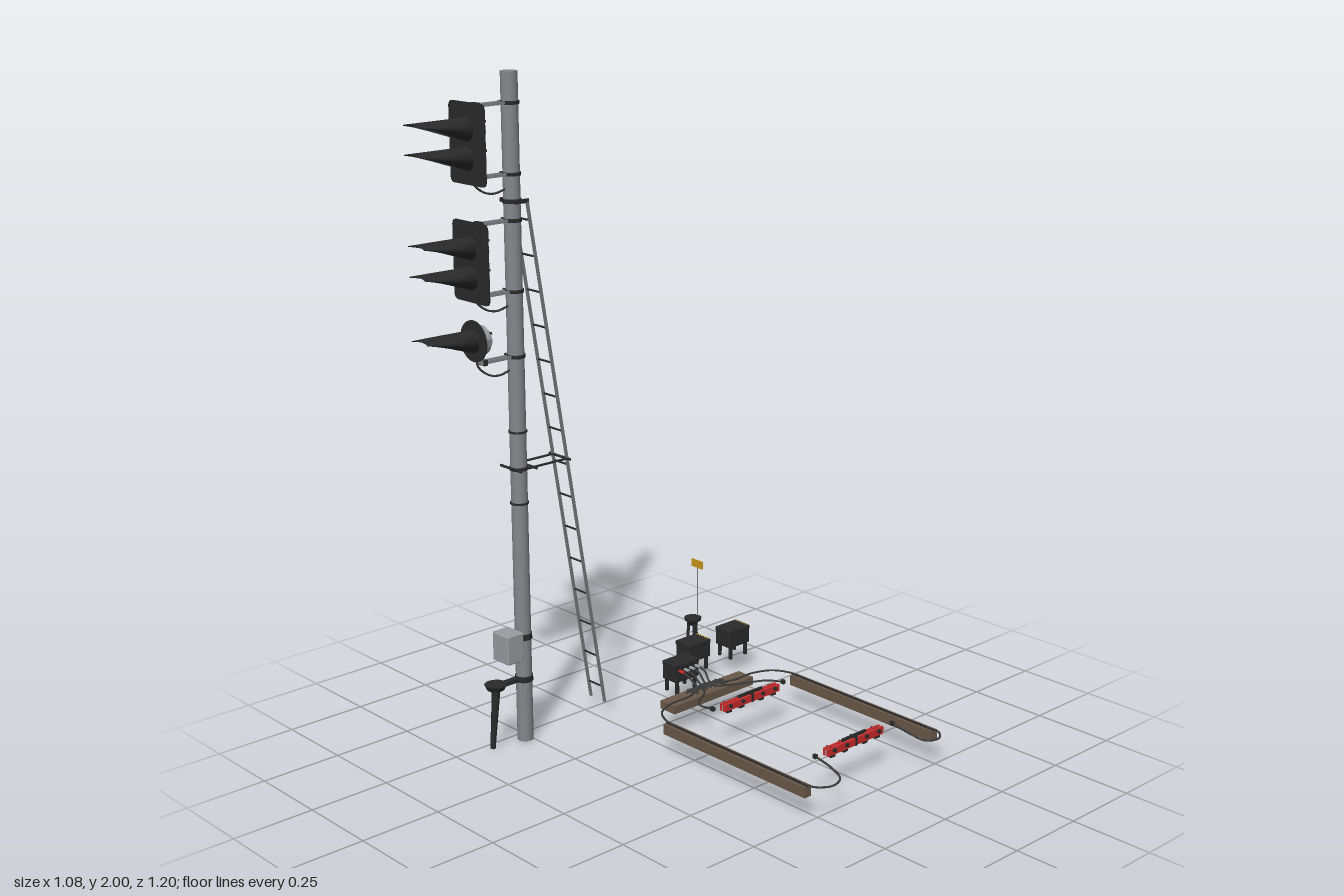
import * as THREE from 'three';
import { RoundedBoxGeometry } from 'three/addons/geometries/RoundedBoxGeometry.js';

const mat = (name, color) => new THREE.MeshStandardMaterial({ name, color, side: THREE.DoubleSide });
const V = (x, y, z) => new THREE.Vector3(x, y, z);

export function createModel() {
  const M = {
    steel: mat('mast steel', 0x85868b), pale: mat('pale grey housing', 0x9a9ca0),
    black: mat('black', 0x2a2a2b), rubber: mat('cable rubber', 0x3c3c3d),
    wood: mat('wood', 0x6a5848), red: mat('red', 0xcc2a2a),
    yellow: mat('yellow', 0xc9961a), ladder: mat('ladder steel', 0x77797c),
    lens: mat('lens', 0xb4b6b8),
  };
  const root = new THREE.Group();
  const group = (name, parent = root) => {
    const g = new THREE.Group();
    g.name = name;
    parent.add(g);
    return g;
  };
  const add = (p, name, geo, m, x = 0, y = 0, z = 0) => {
    const o = new THREE.Mesh(geo, m);
    o.name = name;
    o.position.set(x, y, z);
    p.add(o);
    return o;
  };
  const box = (p, name, m, w, h, d, x, y, z) => add(p, name, new THREE.BoxGeometry(w, h, d), m, x, y, z);
  const round = (p, name, m, w, h, d, r, x, y, z) => add(p, name, new RoundedBoxGeometry(w, h, d, 2, r), m, x, y, z);
  const cyl = (p, name, m, r1, r2, h, x, y, z, n = 20) => add(p, name, new THREE.CylinderGeometry(r1, r2, h, n), m, x, y, z);
  const disc = (p, name, m, r, d, x, y, z) => {
    const o = cyl(p, name, m, r, r, d, x, y, z, 28);
    o.rotation.x = Math.PI / 2;
    return o;
  };
  // straight round bar between two points
  const rod = (p, name, m, a, b, r, r2 = r) => {
    const o = cyl(p, name, m, r2, r, a.distanceTo(b), 0, 0, 0, 10);
    o.position.copy(a).add(b).multiplyScalar(0.5);
    o.quaternion.setFromUnitVectors(V(0, 1, 0), b.clone().sub(a).normalize());
    return o;
  };
  const cable = (p, name, pts, r = 0.0032) => add(p, name,
    new THREE.TubeGeometry(new THREE.CatmullRomCurve3(pts.map(q => V(...q))), 28, r, 6), M.rubber);

  const X = -0.463, Z = 0.267;

  // Mast and its clamp bands
  const mast = group('mast');
  cyl(mast, 'mastTube', M.steel, 0.0245, 0.0245, 2, X, 1, Z, 32);
  for (const [y, h] of [[0.968, 0.006], [0.857, 0.01], [0.751, 0.006], [0.335, 0.018], [0.2, 0.018], [1.64, 0.012]])
    cyl(mast, 'clampBand', M.black, 0.0275, 0.0275, h, X, y, Z, 32);

  // Sighting hood: a tube that opens and flattens toward its tip
  const hoodGeometry = () => {
    const n = 24, rows = 10, pos = [], idx = [];
    for (let i = 0; i <= rows; i++) {
      const t = i / rows, w = 0.03 + 0.006 * t + 0.034 * t * (1 - t) * 1.4;
      const drop = 0.033 - 0.027 * t, spread = Math.PI * (1 - 0.48 * t);
      for (let j = 0; j <= n; j++) {
        const a = (j / n * 2 - 1) * spread;
        pos.push(w * Math.sin(a), 0.033 - 0.004 * t - drop * (1 - Math.cos(a)), t * 0.183);
      }
    }
    for (let i = 0; i < rows; i++) for (let j = 0; j < n; j++) {
      const a = i * (n + 1) + j, b = a + n + 1;
      idx.push(a, b, a + 1, b, b + 1, a + 1);
    }
    const g = new THREE.BufferGeometry();
    g.setAttribute('position', new THREE.Float32BufferAttribute(pos, 3));
    g.setIndex(idx);
    g.computeVertexNormals();
    return g;
  };
  const hood = hoodGeometry();

  // One lamp: lens, rings, hood and rear housing
  const lamp = (p, y, roundBody) => {
    const g = group('lamp', p);
    g.position.set(X, y, 0.417);
    disc(g, 'lens', M.lens, 0.027, 0.006, 0, 0, 0.003);
    for (let i = 0; i < 8; i++) {
      const a = i * Math.PI / 4;
      const o = box(g, 'lensRib', M.steel, 0.003, 0.01, 0.002, Math.sin(a) * 0.02, Math.cos(a) * 0.02, 0.006);
      o.rotation.z = -a;
    }
    disc(g, 'lensRing', M.black, 0.013, 0.003, 0, 0, 0.006);
    disc(g, 'lensCentre', M.lens, 0.007, 0.004, 0, 0, 0.007);
    add(g, 'hood', hood, M.black);
    if (roundBody) {
      disc(g, 'housing', M.pale, 0.042, 0.03, 0, 0, -0.018);
      disc(g, 'housingCap', M.pale, 0.03, 0.014, 0, 0, -0.038);
    } else {
      round(g, 'housing', M.pale, 0.08, 0.07, 0.03, 0.006, 0, 0, -0.018);
      round(g, 'housingCap', M.pale, 0.056, 0.05, 0.014, 0.004, 0, 0, -0.038);
    }
    for (const s of [-1, 1]) {
      box(g, 'latch', M.steel, 0.01, 0.018, 0.02, s * 0.042, 0, -0.02);
      box(g, 'hinge', M.black, 0.012, 0.006, 0.006, s * 0.02, 0.02, -0.045);
    }
  };
  // Bracket arm and its band round the mast
  const bracket = (p, y) => {
    cyl(p, 'bracketBand', M.black, 0.0275, 0.0275, 0.01, X, y, Z, 28);
    for (const s of [-1, 1]) box(p, 'bracketArm', M.steel, 0.005, 0.009, 0.11, X + s * 0.009, y, 0.342);
    box(p, 'bracketPivot', M.black, 0.03, 0.016, 0.012, X, y, 0.385);
    rod(p, 'bracketBolt', M.black, V(X - 0.034, y, Z + 0.012), V(X + 0.034, y, Z + 0.012), 0.004);
  };
  const feed = (p, y) => cable(p, 'lampCable',
    [[X, y + 0.09, 0.39], [X, y + 0.04, 0.405], [X, y + 0.005, 0.37], [X, y - 0.005, 0.33], [X, y + 0.005, 0.285]]);

  // Signal heads with rounded backing boards
  for (const [lo, hi, ys] of [[1.7, 1.926, [1.852, 1.772]], [1.37, 1.598, [1.524, 1.439]]]) {
    const head = group('twinSignalHead');
    const w = 0.0795, r = 0.018, s = new THREE.Shape();
    s.moveTo(-w + r, lo).lineTo(w - r, lo).quadraticCurveTo(w, lo, w, lo + r)
      .lineTo(w, hi - r).quadraticCurveTo(w, hi, w - r, hi)
      .lineTo(-w + r, hi).quadraticCurveTo(-w, hi, -w, hi - r)
      .lineTo(-w, lo + r).quadraticCurveTo(-w, lo, -w + r, lo);
    add(head, 'backingBoard', new THREE.ExtrudeGeometry(s, { depth: 0.004, bevelEnabled: false }), M.black, X, 0, 0.413);
    ys.forEach(y => lamp(head, y, false));
    const yt = ys[0] + 0.062, yb = ys[1] - 0.056;
    bracket(head, yt);
    bracket(head, yb);
    box(head, 'hangerPlate', M.steel, 0.016, 0.03, 0.012, X, yt - 0.014, 0.39);
    box(head, 'hangerPlate', M.steel, 0.016, 0.03, 0.012, X, yb + 0.014, 0.397);
    feed(head, yb - 0.045);
  }
  const single = group('singleSignalHead');
  disc(single, 'backingDisc', M.black, 0.06, 0.004, X, 1.259, 0.415);
  lamp(single, 1.259, true);
  bracket(single, 1.193);
  box(single, 'hangerPlate', M.steel, 0.016, 0.05, 0.012, X, 1.215, 0.392);
  feed(single, 1.15);

  // Ladder leaning on the mast
  const ladder = group('ladder');
  const at = t => [1.637 - 1.593 * t, 0.239 - 0.26 * t];
  for (const s of [-1, 1]) {
    const [y0, z0] = at(0), [y1, z1] = at(1), x = X + s * 0.0325;
    const rail = box(ladder, 'ladderRail', M.ladder, 0.009, Math.hypot(y0 - y1, z0 - z1), 0.006, x, (y0 + y1) / 2, (z0 + z1) / 2);
    rail.rotation.x = Math.atan2(z0 - z1, y0 - y1);
    box(ladder, 'topHook', M.black, 0.005, 0.012, 0.05, x, 1.64, 0.258);
    rod(ladder, 'ladderStay', M.black, V(x, 0.86, Z), V(x, 0.86, 0.112), 0.0035);
  }
  for (let i = 0; i < 15; i++) {
    const [y, z] = at((i + 0.5) / 15);
    rod(ladder, 'rung', M.black, V(X - 0.033, y, z), V(X + 0.033, y, z), 0.003);
  }
  for (const z of [0.112, 0.238, 0.295]) rod(ladder, 'stayCrossbar', M.black, V(X - 0.048, 0.86, z), V(X + 0.048, 0.86, z), 0.004);

  // Junction box and the leaning post on the mast
  const junction = group('junctionBox');
  round(junction, 'boxBody', M.pale, 0.074, 0.09, 0.06, 0.004, X, 0.315, 0.323);
  box(junction, 'boxMount', M.black, 0.05, 0.018, 0.03, X, 0.335, 0.287);
  const post = group('leaningPost');
  box(post, 'postArm', M.black, 0.02, 0.012, 0.1, X, 0.2, 0.325);
  cyl(post, 'postHead', M.black, 0.034, 0.026, 0.016, X, 0.2, 0.374);
  rod(post, 'postShaft', M.black, V(X, 0.006, 0.391), V(X, 0.2, 0.372), 0.008, 0.013);

  // Equipment boxes on short legs
  const cabinet = (name, x, z, w, d) => {
    const g = group(name);
    round(g, 'boxBody', M.black, w, 0.055, d, 0.004, x, 0.124, z);
    round(g, 'boxLid', M.black, w + 0.002, 0.014, d + 0.002, 0.003, x, 0.15, z);
    for (const sx of [-1, 1]) for (const sz of [-1, 1])
      box(g, 'leg', M.black, 0.009, 0.05, 0.009, x + sx * (w / 2 - 0.008), 0.081, z + sz * (d / 2 - 0.012));
    return g;
  };
  for (const z of [-0.555, -0.379]) {
    const g = cabinet('equipmentBox', -0.411, z, 0.066, 0.09);
    for (let i = 0; i < 5; i++) box(g, 'warningStripe', M.yellow, 0.006, 0.002, 0.005, -0.435 + i * 0.012, 0.157, z - 0.041);
  }
  const terminal = cabinet('terminalBox', -0.32, -0.241, 0.063, 0.098);

  // Mushroom-shaped stand with legs and a small sign on a thin rod
  const stand = group('roundStand');
  cyl(stand, 'standTop', M.black, 0.028, 0.026, 0.009, -0.502, 0.18, -0.463, 28);
  cyl(stand, 'standNeck', M.black, 0.024, 0.01, 0.018, -0.502, 0.167, -0.463);
  for (let i = 0; i < 3; i++) {
    const a = i * 2.094 + 0.5, c = Math.cos(a), s = Math.sin(a);
    rod(stand, 'standLeg', M.black, V(-0.502 + c * 0.019, 0.052, -0.463 + s * 0.019), V(-0.502 + c * 0.014, 0.17, -0.463 + s * 0.014), 0.005);
  }
  rod(stand, 'signRod', M.ladder, V(-0.505, 0.17, -0.487), V(-0.505, 0.355, -0.487), 0.002);
  box(stand, 'signPlate', M.yellow, 0.05, 0.026, 0.003, -0.505, 0.362, -0.486);

  // Wooden beams
  const beams = group('beams');
  box(beams, 'crossBeam', M.wood, 0.064, 0.026, 0.333, -0.2, 0.082, -0.2415);
  const ZM = -0.2415;
  for (const s of [-1, 1]) {
    const side = z => ZM + s * z;
    box(beams, 'longBeam', M.wood, 0.578, 0.032, 0.026, 0.197, 0.082, side(0.268));
    box(beams, 'beamGroove', M.black, 0.578, 0.003, 0.008, 0.197, 0.099, side(0.268));

    // Cable runs, mirrored front to back
    const wires = group('cableRun');
    cable(wires, 'beamCable', [[-0.2, 0.1, side(0.05)], [-0.18, 0.102, side(0.1)], [-0.178, 0.103, side(0.17)], [-0.15, 0.103, side(0.235)], [-0.092, 0.102, side(0.266)], [-0.05, 0.1, side(0.268)]]);
    cable(wires, 'innerCable', [[-0.21, 0.1, side(0.01)], [-0.17, 0.103, side(0.04)], [-0.125, 0.108, side(0.105)], [-0.08, 0.118, side(0.14)], [-0.02, 0.13, side(0.149)]]);
    cable(wires, 'endCable', [[0.46, 0.1, side(0.268)], [0.505, 0.102, side(0.264)], [0.538, 0.104, side(0.225)], [0.525, 0.108, side(0.18)], [0.48, 0.118, side(0.166)], [0.415, 0.13, side(0.163)]]);
    box(wires, 'cablePlug', M.black, 0.012, 0.012, 0.01, -0.02, 0.13, side(0.149));
    box(wires, 'cablePlug', M.black, 0.012, 0.012, 0.01, 0.413, 0.13, side(0.163));
    // fanned bundle on the cross beam
    for (let i = 0; i < 7; i++)
      cable(wires, 'bundleCable', [[-0.228 + i * 0.004, 0.1, side(0)], [-0.213 + i * 0.002, 0.104, side(0.035)], [-0.226 + i * 0.0075, 0.099, side(0.06 + (i % 3) * 0.009)]], 0.003);
  }

  // Plugs and leads from the terminal box
  [-0.275, -0.252, -0.229, -0.207].forEach((z, i) => {
    rod(terminal, 'plug', i === 3 ? M.red : M.pale, V(-0.29, 0.135, z), V(-0.268, 0.135, z), 0.005);
    cable(terminal, 'lead', [[-0.268, 0.135, z], [-0.245, 0.127, z], [-0.222, 0.107, z * 0.8 + ZM * 0.2], [-0.19, 0.1, z * 0.7 + ZM * 0.3]]);
  });

  // Red track sensors with clamps
  for (const x of [-0.0125, 0.41]) {
    const g = group('trackSensor');
    for (const s of [-1, 1]) box(g, 'redBar', M.red, 0.008, 0.022, 0.232, x + s * 0.0065, 0.126, ZM);
    box(g, 'coreStrip', M.pale, 0.005, 0.016, 0.232, x, 0.126, ZM);
    box(g, 'topPlate', M.black, 0.006, 0.008, 0.1, x, 0.142, ZM);
    for (const z of [-0.094, -0.042, 0.042, 0.094]) {
      rod(g, 'clampBolt', M.black, V(x - 0.017, 0.13, ZM + z), V(x + 0.017, 0.13, ZM + z), 0.006);
      box(g, 'clampFoot', M.black, 0.018, 0.012, 0.018, x, 0.113, ZM + z);
    }
    box(g, 'middleClamp', M.black, 0.024, 0.028, 0.008, x, 0.128, ZM);
  }
  return root;
}
